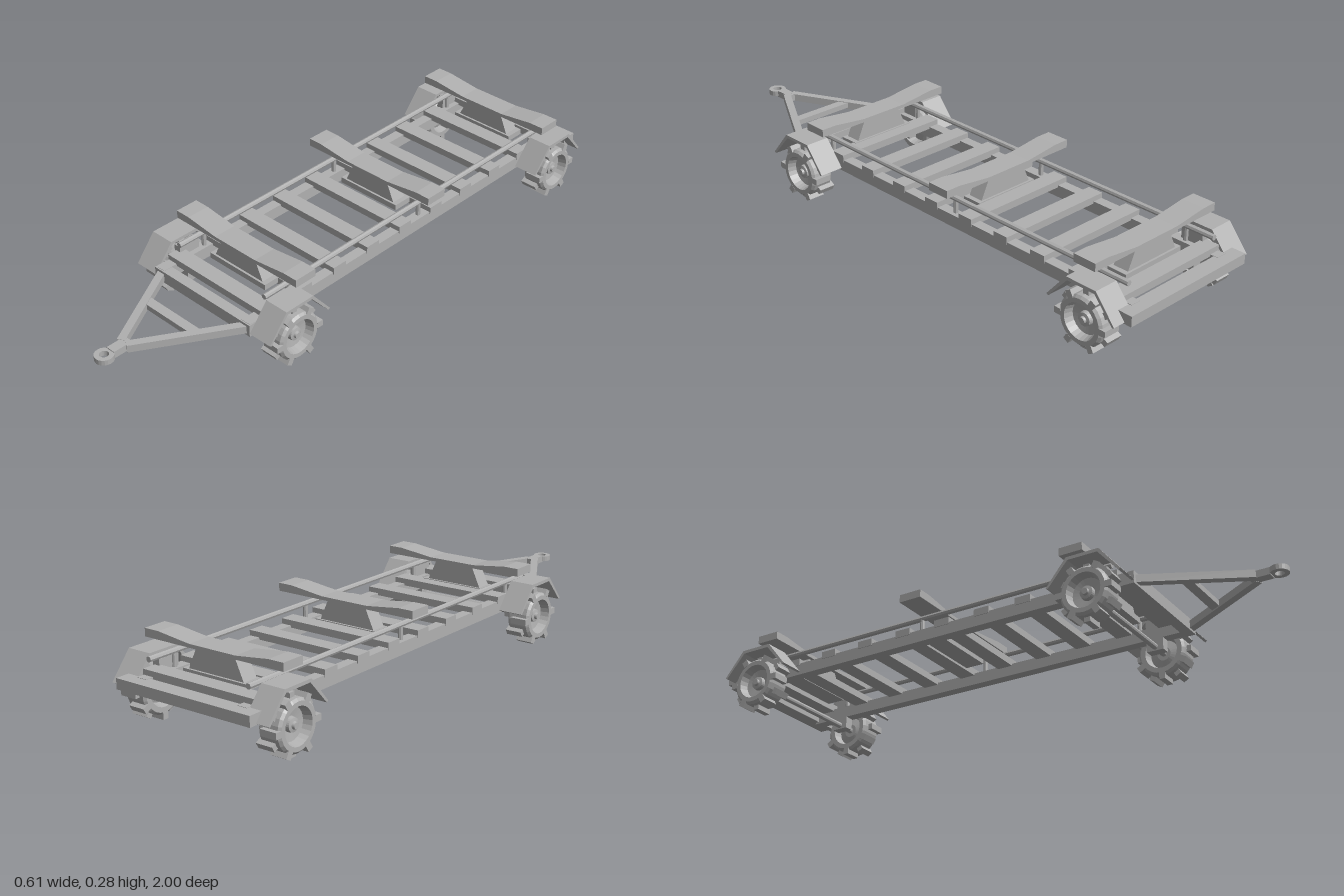
import * as THREE from 'three';

export function createModel() {
  const model = new THREE.Group();
  model.name = 'trailer';
  const steel = new THREE.MeshStandardMaterial({ color: 0xb0b0b0, flatShading: true });
  steel.name = 'grey steel';

  const add = (name, geometry, x = 0, y = 0, z = 0, parent = model) => {
    const mesh = new THREE.Mesh(geometry, steel);
    mesh.name = name;
    mesh.position.set(x, y, z);
    parent.add(mesh);
    return mesh;
  };
  // box given by its limits on each axis
  const box = (name, x0, x1, y0, y1, z0, z1, parent) =>
    add(name, new THREE.BoxGeometry(x1 - x0, y1 - y0, z1 - z0),
      (x0 + x1) / 2, (y0 + y1) / 2, (z0 + z1) / 2, parent);
  // bar of rectangular section between two points
  const bar = (name, a, b, w, h) => {
    const from = new THREE.Vector3(...a), to = new THREE.Vector3(...b);
    const mesh = add(name, new THREE.BoxGeometry(w, h, from.distanceTo(to)));
    mesh.position.copy(from).add(to).multiplyScalar(0.5);
    mesh.lookAt(to);
    return mesh;
  };
  // extruded outline, centred on its depth
  const extrude = (points, depth) => {
    const shape = new THREE.Shape(points.map(p => new THREE.Vector2(...p)));
    return new THREE.ExtrudeGeometry(shape, { depth, bevelEnabled: false }).translate(0, 0, -depth / 2);
  };

  const axleZ = [0.455, -0.845], axleY = 0.098;
  const cradleZ = [0.395, -0.215, -0.825];

  // frame: side beams, end bars and deck slats
  for (const s of [-1, 1]) {
    add('sideBeam', new THREE.BoxGeometry(0.037, 0.042, 1.54), s * 0.196, 0.147, -0.19);
  }
  box('frontBar', -0.217, 0.217, 0.125, 0.167, 0.548, 0.585);
  box('rearBar', -0.26, 0.26, 0.132, 0.167, -1, -0.945);
  for (let i = 0; i < 10; i++) {
    add('deckSlat', new THREE.BoxGeometry(0.434, 0.025, 0.057), 0, 0.1735, 0.5 - i * 0.156);
  }

  // cradles: dished bunk on a tapered stand
  for (const z of cradleZ) {
    add('bunk', extrude([[-0.27, 0.258], [0.27, 0.258], [0.27, 0.285], [0.215, 0.285], [0.15, 0.277],
      [0.09, 0.27], [-0.09, 0.27], [-0.15, 0.277], [-0.215, 0.285], [-0.27, 0.285]], 0.083), 0, 0, z);
    add('bunkStand', extrude([[-0.108, 0.186], [0.108, 0.186], [0.075, 0.258], [-0.075, 0.258]], 0.055), 0, 0, z);
    box('standPlate', -0.125, 0.125, 0.168, 0.188, z - 0.035, z + 0.035);
  }

  // hand rails on short posts
  for (const s of [-1, 1]) {
    const rail = new THREE.CylinderGeometry(0.0095, 0.0095, 1.43, 8).rotateX(Math.PI / 2);
    add('rail', rail, s * 0.194, 0.218, -0.215);
    for (const z of cradleZ) {
      add('railPost', new THREE.CylinderGeometry(0.008, 0.008, 0.055, 8), s * 0.194, 0.19, z);
    }
  }

  // drawbar with towing eye
  for (const s of [-1, 1]) {
    bar('drawbarArm', [s * 0.195, 0.145, 0.575], [s * 0.012, 0.155, 0.895], 0.026, 0.026);
  }
  box('drawbarTie', -0.115, 0.115, 0.141, 0.16, 0.692, 0.725);
  box('hitchNeck', -0.017, 0.017, 0.143, 0.167, 0.875, 0.945);
  const eye = new THREE.Shape().absarc(0, 0, 0.031, 0, Math.PI * 2);
  eye.holes.push(new THREE.Path().absarc(0, 0, 0.015, 0, Math.PI * 2, true));
  add('hitchEye', new THREE.ExtrudeGeometry(eye, { depth: 0.018, bevelEnabled: false, curveSegments: 10 })
    .translate(0, 0, -0.009).rotateX(Math.PI / 2), 0, 0.155, 0.969);

  // wheel: hollow rim, stepped hub and staggered lugs; +x is the outer side
  const ring = [[0.058, -0.041], [0.075, -0.041], [0.083, -0.033], [0.083, 0.033], [0.075, 0.041],
    [0.06, 0.041], [0.052, 0.012], [0.024, 0.008], [0.022, 0.022], [0.012, 0.024], [0.01, 0.032], [0, 0.032],
    [0, -0.02], [0.024, -0.02], [0.05, -0.012], [0.058, -0.041]];
  const wheelGeometry = new THREE.LatheGeometry(ring.map(p => new THREE.Vector2(...p)), 24).rotateZ(-Math.PI / 2);
  const lugGeometry = new THREE.BoxGeometry(0.06, 0.024, 0.021);

  // fender: bent plate seen from the side as [z, y]
  const fenderOutline = [[-0.13, 0.137], [-0.123, 0.133], [-0.052, 0.214], [0.052, 0.214], [0.123, 0.133],
    [0.13, 0.137], [0.057, 0.225], [-0.057, 0.225]];
  const fenderGeometry = extrude(fenderOutline, 0.087).rotateY(-Math.PI / 2);

  for (const z of axleZ) {
    add('axle', new THREE.CylinderGeometry(0.0105, 0.0105, 0.5, 10).rotateZ(Math.PI / 2), 0, axleY, z);
    for (const s of [-1, 1]) {
      const wheel = new THREE.Group();
      wheel.name = 'wheel';
      wheel.position.set(s * 0.2625, axleY, z);
      wheel.rotation.y = s < 0 ? Math.PI : 0;
      add('tyre', wheelGeometry, 0, 0, 0, wheel);
      for (let i = 0; i < 12; i++) {
        const a = i * Math.PI / 6;
        const lug = add('lug', lugGeometry, i % 2 ? 0.0115 : -0.0115,
          Math.cos(a) * 0.086, Math.sin(a) * 0.086, wheel);
        lug.rotation.x = a;
      }
      model.add(wheel);
      add('axleBracket', new THREE.BoxGeometry(0.033, 0.046, 0.06), s * 0.194, 0.107, z);
      add('fender', fenderGeometry, s * 0.261, 0, z);
      add('fenderBracket', new THREE.BoxGeometry(0.026, 0.04, 0.08), s * 0.21, 0.186, z);
    }
  }
  return model;
}
